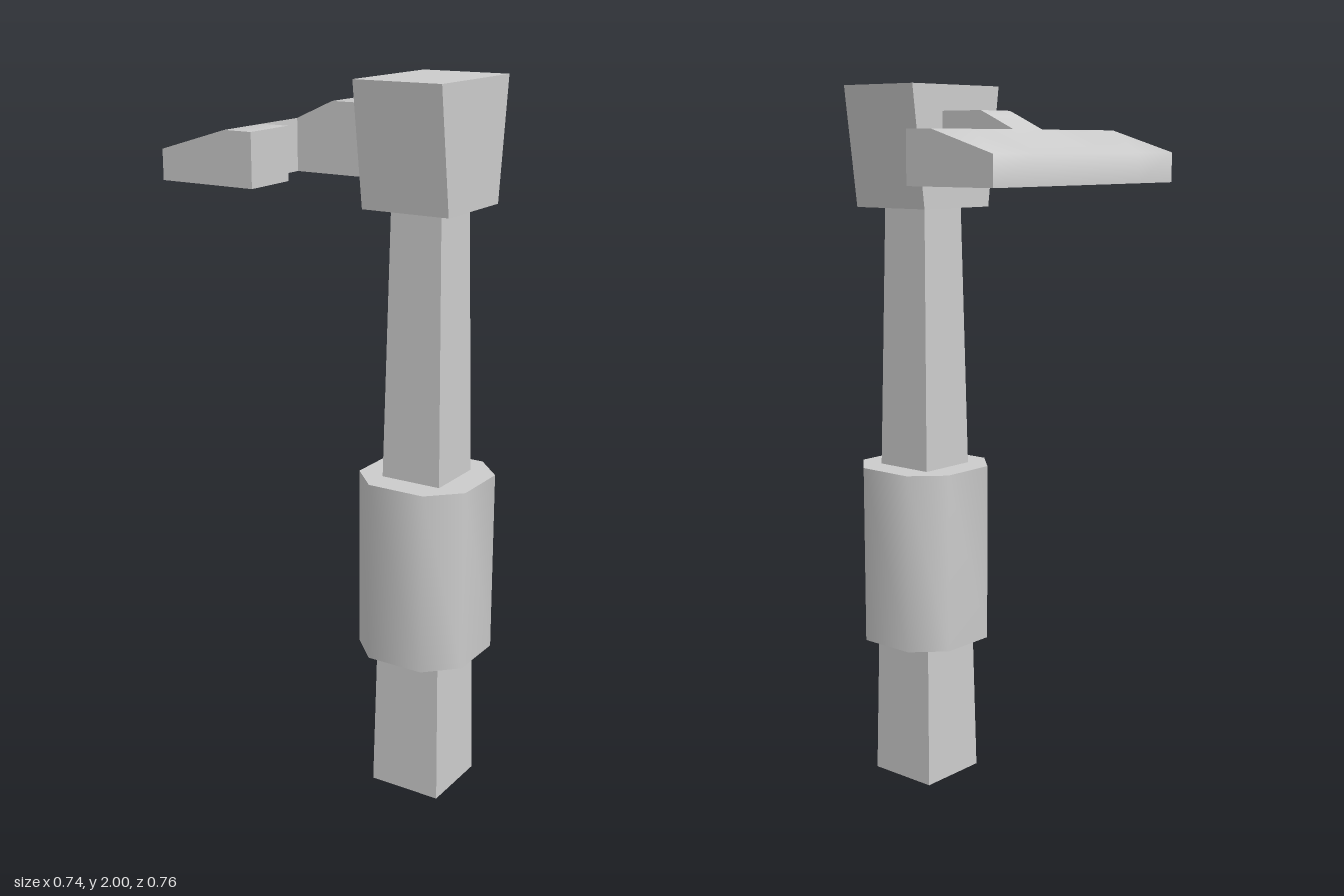
import * as THREE from 'three';
import { toCreasedNormals } from 'three/addons/utils/BufferGeometryUtils.js';

const POST_X = 0.205;
const material = new THREE.MeshStandardMaterial({ color: 0xcccccc });

function part(name, geometry, crease) {
  const mesh = new THREE.Mesh(toCreasedNormals(geometry, crease), material);
  mesh.name = name;
  return mesh;
}

// Box from y0 to y1 whose [x, z] half sizes change from bottom to top
function taperedBox(y0, y1, bottom, top) {
  const g = new THREE.BoxGeometry(2, 1, 2);
  const p = g.attributes.position;
  for (let i = 0; i < p.count; i++) {
    const up = p.getY(i) > 0;
    const [hx, hz] = up ? top : bottom;
    p.setXYZ(i, POST_X + p.getX(i) * hx, up ? y1 : y0, p.getZ(i) * hz);
  }
  return g;
}

// Square collar with cut corners, extruded upwards
function collarGeometry(y0, y1, half, cut) {
  const corners = [
    [half, -cut], [half, cut], [cut, half], [-cut, half],
    [-half, cut], [-half, -cut], [-cut, -half], [cut, -half],
  ];
  const shape = new THREE.Shape(corners.map(([x, y]) => new THREE.Vector2(x, y)));
  return new THREE.ExtrudeGeometry(shape, { depth: y1 - y0, bevelEnabled: false })
    .rotateX(-Math.PI / 2)
    .translate(POST_X, y0, 0);
}

// Crossbar, end lugs and neck as one solid: a plan of filled cells under a sloped top
function crossbarGeometry() {
  const base = 1.74;
  const xs = [-0.372, -0.172, -0.09, -0.06, 0.076];
  const zs = [-0.378, -0.22, -0.06, 0.06, 0.22, 0.378];
  const columns = [2, 1, 4, 1, 2]; // filled cells along x in each z band
  const neckTop = [1.82, 1.88, 1.917, 1.93, 1.93];
  const barTop = [1.82, 1.88, 1.88];
  const filled = (i, j) => i >= 0 && j >= 0 && j < columns.length && i < columns[j];

  const positions = [];
  const quad = (a, b, c, d) => positions.push(...a, ...b, ...c, ...a, ...c, ...d);

  for (let j = 0; j < columns.length; j++) {
    const tops = j === 2 ? neckTop : barTop;
    for (let i = 0; i < columns[j]; i++) {
      const upper = (a, b) => [xs[a], tops[a], zs[b]];
      const lower = (a, b) => [xs[a], base, zs[b]];
      const wall = (a, b, c, d) => quad(lower(a, b), lower(c, d), upper(c, d), upper(a, b));
      const i1 = i + 1, j1 = j + 1;
      quad(upper(i, j), upper(i, j1), upper(i1, j1), upper(i1, j));
      quad(lower(i, j), lower(i1, j), lower(i1, j1), lower(i, j1));
      if (!filled(i, j + 1)) wall(i, j1, i1, j1);
      if (!filled(i, j - 1)) wall(i1, j, i, j);
      if (!filled(i + 1, j)) wall(i1, j1, i1, j);
      if (!filled(i - 1, j)) wall(i, j, i, j1);
    }
  }
  const g = new THREE.BufferGeometry();
  g.setAttribute('position', new THREE.Float32BufferAttribute(positions, 3));
  return g;
}

export function createModel() {
  const model = new THREE.Group();
  model.name = 'postWithCrossbar';
  model.add(
    part('post', taperedBox(0, 1.67, [0.106, 0.106], [0.075, 0.075]), 0.3),
    part('head', taperedBox(1.67, 2, [0.128, 0.132], [0.128, 0.176]), 0.3),
    part('collar', collarGeometry(0.42, 0.935, 0.167, 0.084), 1),
    part('crossbar', crossbarGeometry(), 1.35),
  );
  return model;
}
